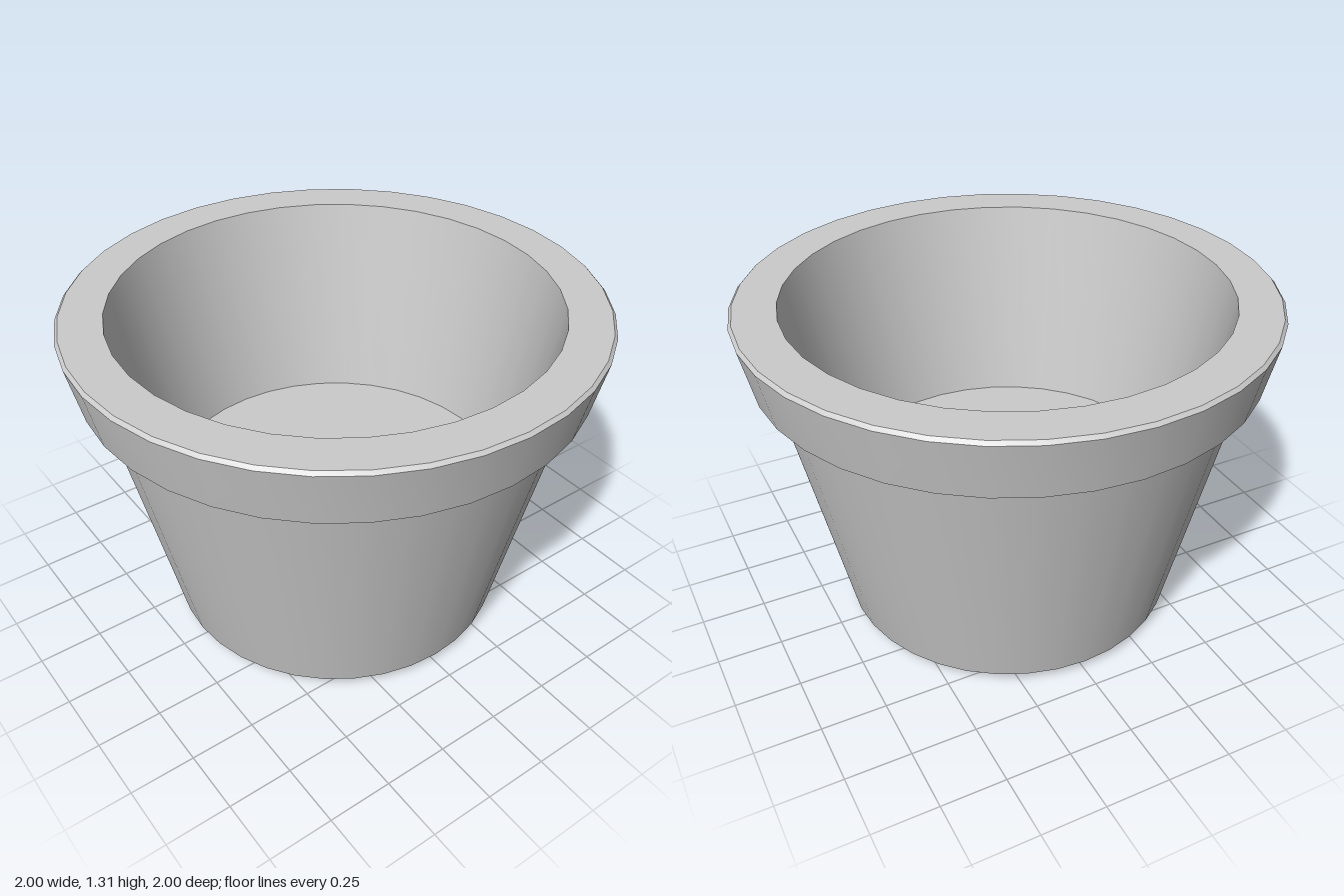
import * as THREE from 'three';
import { toCreasedNormals } from 'three/addons/utils/BufferGeometryUtils.js';

const SEGMENTS = 36;

// Revolve a [radius, height] profile, keeping its corners sharp
function revolve(name, profile, material) {
  const points = profile.map(([r, y]) => new THREE.Vector2(r, y));
  const geometry = toCreasedNormals(new THREE.LatheGeometry(points, SEGMENTS), 0.38);
  const mesh = new THREE.Mesh(geometry, material);
  mesh.name = name;
  return mesh;
}

export function createModel() {
  const group = new THREE.Group();
  group.name = 'flowerPot';
  const material = new THREE.MeshStandardMaterial({ color: 0xcccccc });

  // Tapered body with a chamfered foot
  group.add(revolve('body', [
    [0, 0], [0.615, 0], [0.662, 0.04], [0.884, 1.062],
  ], material));

  // Overhanging collar with chamfered edges and a flat top
  group.add(revolve('rim', [
    [0.884, 1.062], [0.927, 1.062], [0.951, 1.076],
    [1, 1.297], [0.988, 1.31], [0.83, 1.31],
  ], material));

  // Inner wall, tapering down to the flat floor
  group.add(revolve('interior', [
    [0.83, 1.31], [0.675, 0.51], [0, 0.51],
  ], material));

  return group;
}
